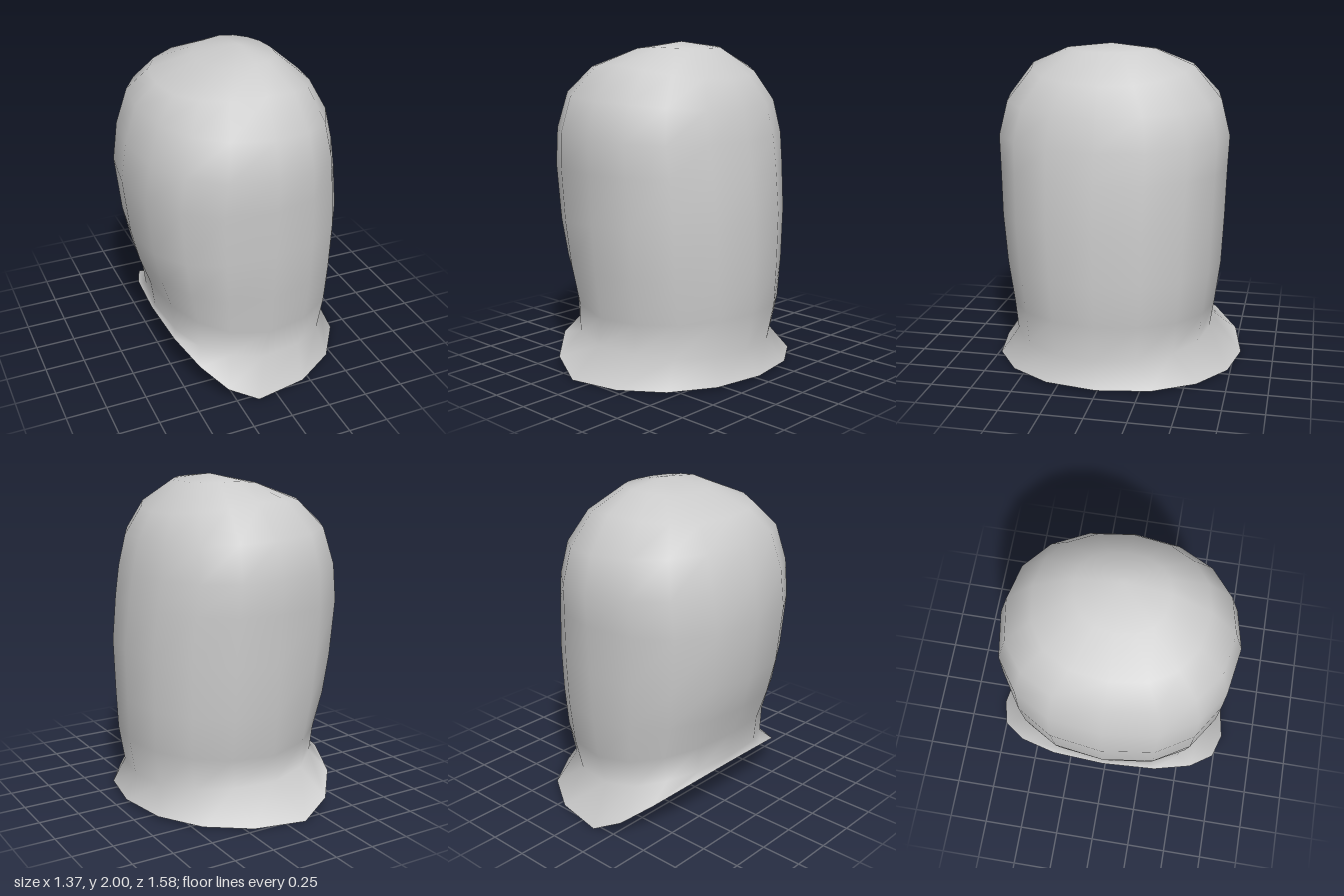
import * as THREE from 'three';

const SIDES = 16;

// Cross-sections from base to crown:
// [left x, left y, middle x, middle y, right x, right y, back z, front z]
const RINGS = [
  [-0.53, 0.29, -0.12, 0.00, 0.68, 0.02, -0.79, 0.79],
  [-0.515, 0.32, -0.03, 0.20, 0.60, 0.17, -0.59, 0.65],
  [-0.535, 0.49, 0.00, 0.38, 0.64, 0.40, -0.62, 0.66],
  [-0.60, 0.68, 0.00, 0.65, 0.645, 0.65, -0.655, 0.70],
  [-0.65, 0.89, 0.00, 0.95, 0.65, 0.97, -0.67, 0.725],
  [-0.69, 1.25, 0.00, 1.25, 0.62, 1.25, -0.68, 0.735],
  [-0.655, 1.49, 0.00, 1.45, 0.59, 1.43, -0.69, 0.745],
  [-0.585, 1.71, 0.00, 1.67, 0.55, 1.62, -0.635, 0.69],
  [-0.46, 1.84, 0.02, 1.87, 0.46, 1.79, -0.47, 0.53],
  [-0.21, 1.94, 0.05, 1.97, 0.26, 1.96, -0.24, 0.30],
];

// One rounded, slightly squarish and tilted cross-section
function ringPoints([xl, yl, xm, ym, xr, yr, zb, zf]) {
  const pts = [];
  const zm = (zb + zf) / 2, zh = (zf - zb) / 2;
  for (let j = 0; j < SIDES; j++) {
    const t = (j / SIDES) * Math.PI * 2;
    const c = Math.cos(t), s = Math.sin(t);
    const e = 2 / (c < 0 ? 2.35 : 2.12);
    const u = Math.abs(c) ** e, w = Math.sign(s) * Math.abs(s) ** e;
    const [xe, ye] = c < 0 ? [xl, yl] : [xr, yr];
    pts.push(xm + (xe - xm) * u, ym + (ye - ym) * u ** 1.4, zm + zh * w);
  }
  return pts;
}

function makeMesh(name, positions, index) {
  const geo = new THREE.BufferGeometry();
  geo.setAttribute('position', new THREE.Float32BufferAttribute(positions, 3));
  geo.setIndex(index);
  geo.computeVertexNormals();
  const mesh = new THREE.Mesh(geo, new THREE.MeshStandardMaterial({ color: 0xcccccc }));
  mesh.name = name;
  return mesh;
}

export function createModel() {
  const group = new THREE.Group();
  group.name = 'hood';

  // Smooth shell: flared hem, neck, bulging sides and dome
  const pos = RINGS.flatMap(ringPoints);
  const apex = RINGS.length * SIDES;
  pos.push(0.06, 2, 0.03);
  const index = [];
  for (let i = 0; i < RINGS.length; i++) {
    for (let j = 0; j < SIDES; j++) {
      const a = i * SIDES + j, b = i * SIDES + (j + 1) % SIDES;
      if (i === RINGS.length - 1) index.push(a, apex, b);
      else index.push(a, a + SIDES, b, b, a + SIDES, b + SIDES);
    }
  }
  group.add(makeMesh('shell', pos, index));

  // Underside, level at the left and sloping up at the right
  const base = [...ringPoints(RINGS[0]), -0.12, 0, 0];
  const fan = [];
  for (let j = 0; j < SIDES; j++) fan.push(SIDES, j, (j + 1) % SIDES);
  group.add(makeMesh('underside', base, fan));

  return group;
}
